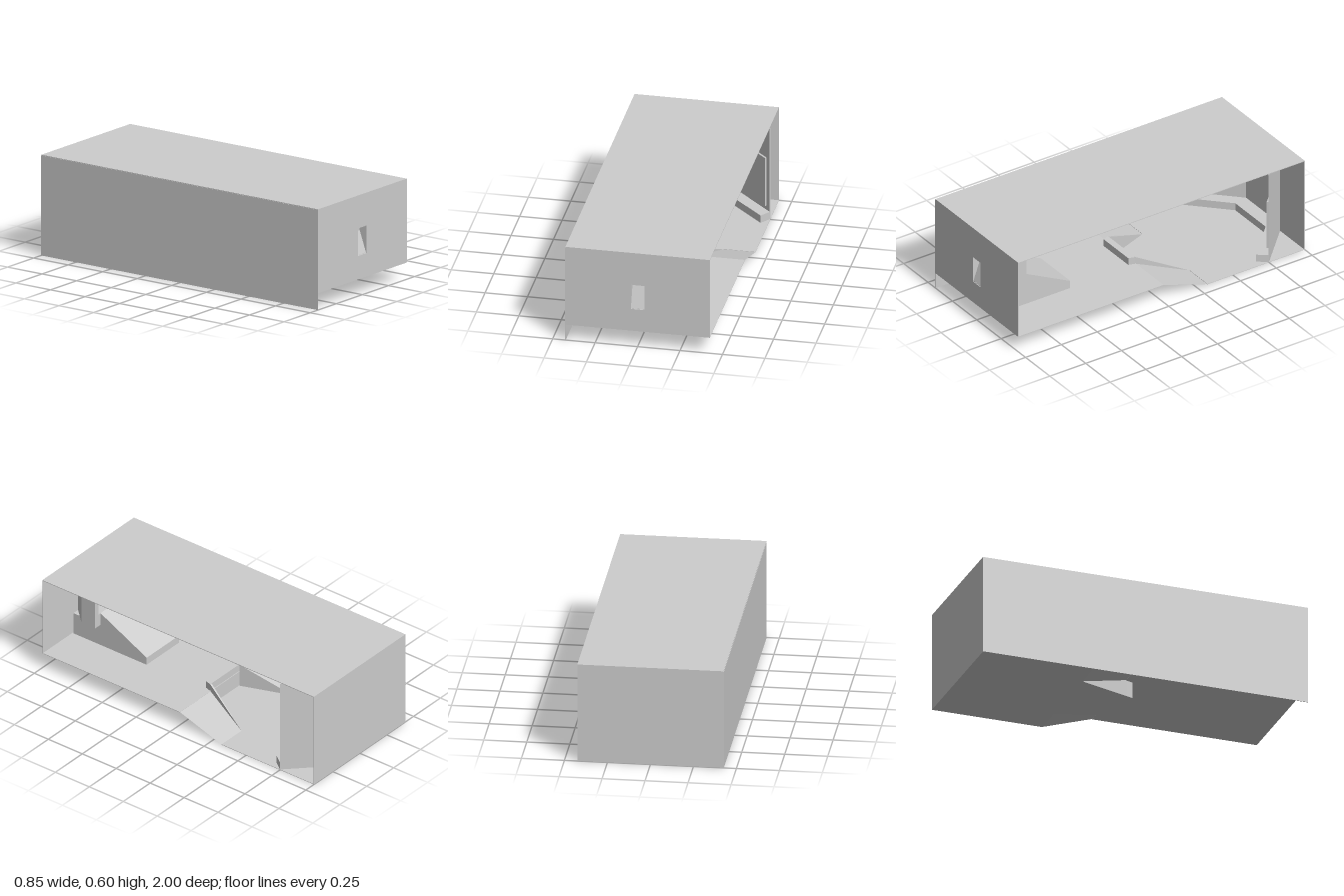
import * as THREE from 'three';

const grey = new THREE.MeshStandardMaterial({ color: 0xcccccc, side: THREE.DoubleSide, flatShading: true });
grey.name = 'plainGrey';

export function createModel() {
  const model = new THREE.Group();
  model.name = 'room';

  const add = (name, geometry) => {
    const mesh = new THREE.Mesh(geometry, grey);
    mesh.name = name;
    model.add(mesh);
    return mesh;
  };

  // Horizontal outline of [x, z] points raised from y0 to y1
  const slab = (name, outline, y0, y1) => {
    const shape = new THREE.Shape(outline.map(([x, z]) => new THREE.Vector2(x, -z)));
    const geometry = new THREE.ExtrudeGeometry(shape, { depth: y1 - y0, bevelEnabled: false });
    return add(name, geometry.rotateX(-Math.PI / 2).translate(0, y0, 0));
  };

  // Straight wall between two [x, z] points, thickened to its left
  const wall = (name, a, b, t, y0, y1) => {
    const length = Math.hypot(b[0] - a[0], b[1] - a[1]);
    const nx = ((b[1] - a[1]) / length) * t, nz = (-(b[0] - a[0]) / length) * t;
    return slab(name, [a, b, [b[0] + nx, b[1] + nz], [a[0] + nx, a[1] + nz]], y0, y1);
  };

  // Flat convex face through a few [x, y, z] corners
  const panel = (name, corners) => {
    const points = [];
    for (let i = 1; i < corners.length - 1; i++) points.push(...corners[0], ...corners[i], ...corners[i + 1]);
    const geometry = new THREE.BufferGeometry();
    geometry.setAttribute('position', new THREE.Float32BufferAttribute(points, 3));
    geometry.computeVertexNormals();
    return add(name, geometry);
  };

  // Upright rectangle in x and y with one rectangular hole
  const piercedWall = (name, [x0, x1, y0, y1], [hx0, hx1, hy0, hy1], z, t) => {
    const shape = new THREE.Shape();
    shape.moveTo(x0, y0).lineTo(x1, y0).lineTo(x1, y1).lineTo(x0, y1).closePath();
    const hole = new THREE.Path();
    hole.moveTo(hx0, hy0).lineTo(hx0, hy1).lineTo(hx1, hy1).lineTo(hx1, hy0).closePath();
    shape.holes.push(hole);
    const geometry = new THREE.ExtrudeGeometry(shape, { depth: t, bevelEnabled: false });
    return add(name, geometry.translate(0, 0, z));
  };

  const W = 0.425;
  const rect = (x0, x1, z0, z1) => [[x0, z0], [x1, z0], [x1, z1], [x0, z1]];

  // Outer shell, open on the +x side
  slab('roof', rect(-W, W, -1, 1), 0.598, 0.602);
  slab('sideWall', rect(-W - 0.002, -W + 0.002, -1, 1), 0, 0.598);
  slab('backWall', rect(-W, W, -1, -0.996), 0, 0.598);
  piercedWall('frontWall', [-W, W, 0.1, 0.598], [-0.04, 0.04, 0.24, 0.405], 0.996, 0.004);

  // Lower and raised floors
  slab('lowerFloor', [[-W, -1], [W, -1], [W, -0.32], [0.24, -0.32], [0.14, -0.01], [0.128, 0.03],
    [-0.128, 0.03], [-0.14, -0.01], [-0.24, -0.32], [-W, -0.32]], 0, 0.003);
  slab('raisedFloor', rect(-W, W, -0.015, 0.998), 0.099, 0.102);

  // Parapet wall at the end of the notch
  slab('parapet', [[-0.14, -0.01], [-0.128, 0.03], [0.128, 0.03], [0.14, -0.01]], 0, 0.147);

  for (const s of [1, -1]) {
    // Ramp up to the raised floor
    panel('ramp', [[s * 0.24, 0.001, -0.32], [s * W, 0.001, -0.32], [s * W, 0.101, -0.015], [s * 0.14, 0.101, -0.015]]);

    // Tapered side wall of the notch, between ramp and parapet
    const tip = [s * 0.24, 0.001, -0.32], low = [s * 0.14, 0.001, -0.012];
    const outerTop = [s * 0.14, 0.147, -0.01], innerTop = [s * 0.128, 0.147, -0.012];
    panel('notchWallOuter', [tip, low, outerTop]);
    panel('notchWallInner', [tip, [s * 0.128, 0.001, -0.012], innerTop]);
    panel('notchWallTop', [tip, outerTop, innerTop]);

    // Diagonal back corner with its inset board and curb
    wall('cornerWall', [s * W, -0.75], [s * 0.175, -0.998], s * 0.004, 0, 0.59);
    wall('cornerBoard', [s * 0.4, -0.765], [s * 0.19, -0.973], s * 0.012, 0.08, 0.39);
    slab('cornerCurb', [[s * 0.38, -0.69], [s * 0.155, -0.91], [s * 0.175, -0.996], [s * W, -0.75]], 0, 0.05);

    // Side and chamfer of the lookout booth
    wall('boothSide', [s * 0.2, 0.79], [s * 0.2, 0.89], s * -0.006, 0.24, 0.57);
    wall('boothChamfer', [s * 0.2, 0.89], [s * 0.1, 0.996], s * -0.006, 0.24, 0.57);

    // Window jamb
    panel('windowJamb', [[s * 0.04, 0.24, 0.997], [s * 0.04, 0.405, 0.997], [s * 0.04, 0.405, 0.95], [s * 0.04, 0.24, 0.95]]);
  }

  // Back curb and board
  slab('backCurb', [[-0.155, -0.91], [0.155, -0.91], [0.175, -0.996], [-0.175, -0.996]], 0, 0.05);
  slab('backBoard', rect(-0.11, 0.12, -0.996, -0.982), 0.1, 0.39);

  // Lookout booth shell with an opening to the room
  const booth = [[-0.2, 0.79], [0.2, 0.79], [0.2, 0.89], [0.1, 0.996], [-0.1, 0.996], [-0.2, 0.89]];
  slab('boothTop', booth, 0.566, 0.57);
  slab('boothBottom', booth, 0.24, 0.244);
  piercedWall('boothBack', [-0.2, 0.2, 0.24, 0.57], [-0.17, 0.17, 0.32, 0.46], 0.79, 0.004);

  // Sloped sill, head and back of the window recess
  panel('windowSill', [[-0.04, 0.24, 0.997], [0.04, 0.24, 0.997], [0.04, 0.37, 0.95], [-0.04, 0.37, 0.95]]);
  panel('windowHead', [[-0.04, 0.405, 0.997], [0.04, 0.405, 0.997], [0.04, 0.405, 0.95], [-0.04, 0.405, 0.95]]);
  panel('windowBack', [[-0.04, 0.37, 0.95], [0.04, 0.37, 0.95], [0.04, 0.405, 0.95], [-0.04, 0.405, 0.95]]);

  // Wedge leading up to the booth
  const wedge = new THREE.Shape([[-0.99, 0.102], [-0.45, 0.102], [-0.45, 0.15], [-0.79, 0.32], [-0.79, 0.24], [-0.99, 0.24]]
    .map(([z, y]) => new THREE.Vector2(z, y)));
  add('boothWedge', new THREE.ExtrudeGeometry(wedge, { depth: 0.3, bevelEnabled: false })
    .rotateY(Math.PI / 2).translate(-0.15, 0, 0));

  return model;
}
